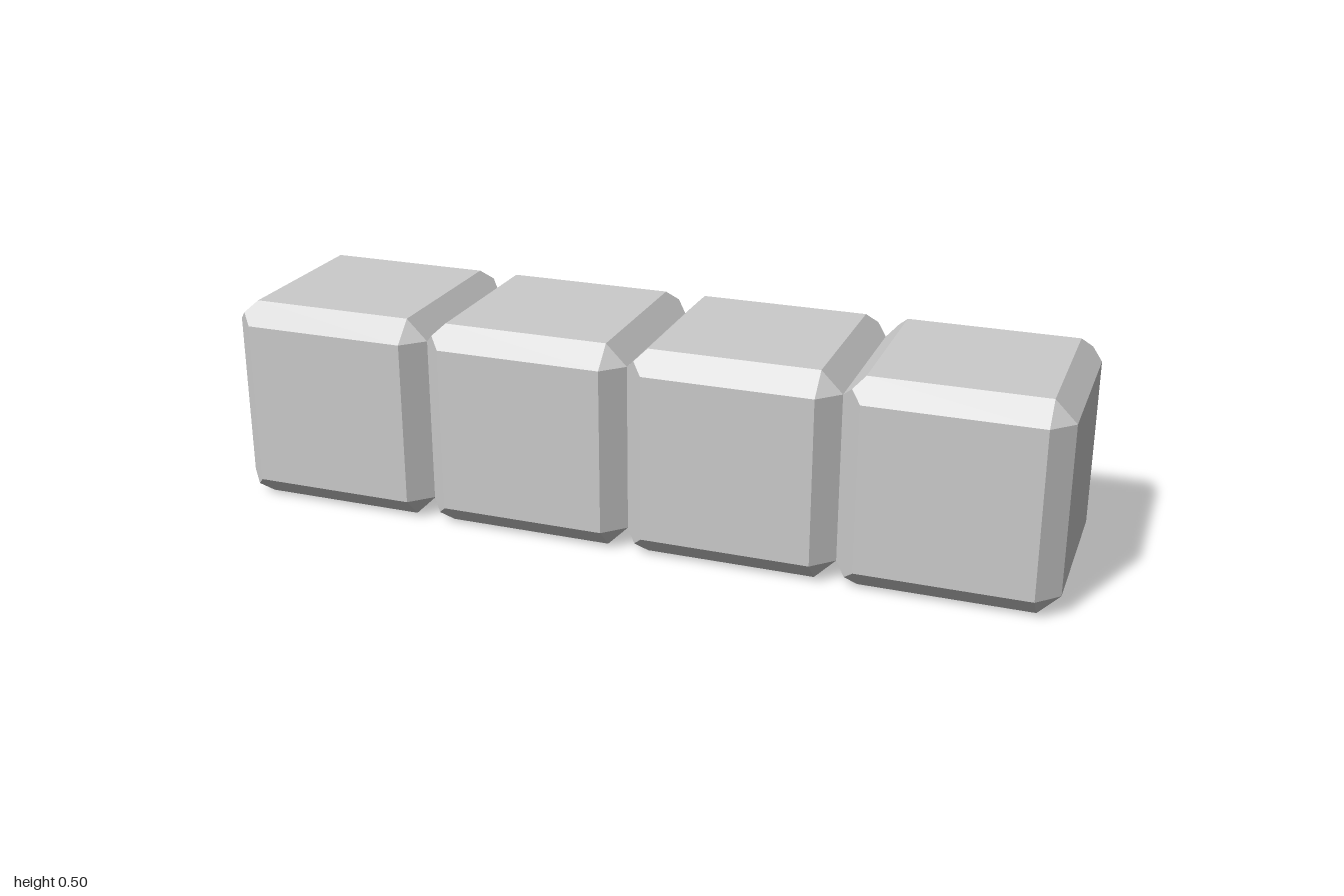
import * as THREE from 'three';
import { ConvexGeometry } from 'three/addons/geometries/ConvexGeometry.js';

const COUNT = 4;
const HALF = 0.25;    // half the width of a block
const BEVEL = 0.05;

// Cube with 45 degree bevels; the bevels meet in a point at each corner,
// except along the front edge on the +x side, where the corners are cut flat.
function bevelledCube() {
  const inner = HALF - BEVEL;
  const mitre = HALF - BEVEL / 2;
  const points = [];
  for (const x of [-1, 1]) for (const y of [-1, 1]) for (const z of [-1, 1]) {
    const add = (a, b, c) => points.push(new THREE.Vector3(x * a, y * b, z * c));
    add(HALF, inner, inner);
    add(inner, HALF, inner);
    add(inner, inner, HALF);
    const cutFlat = x > 0 && z > 0;
    if (!cutFlat) add(mitre, mitre, mitre);
  }
  return new ConvexGeometry(points);
}

export function createModel() {
  const model = new THREE.Group();
  model.name = 'blockRow';
  const material = new THREE.MeshStandardMaterial({ color: 0xcccccc, flatShading: true });
  const geometry = bevelledCube();

  // Row of touching blocks along x
  for (let i = 0; i < COUNT; i++) {
    const block = new THREE.Mesh(geometry, material);
    block.name = `block${i + 1}`;
    block.position.set((i - (COUNT - 1) / 2) * 2 * HALF, HALF, 0);
    model.add(block);
  }
  return model;
}
